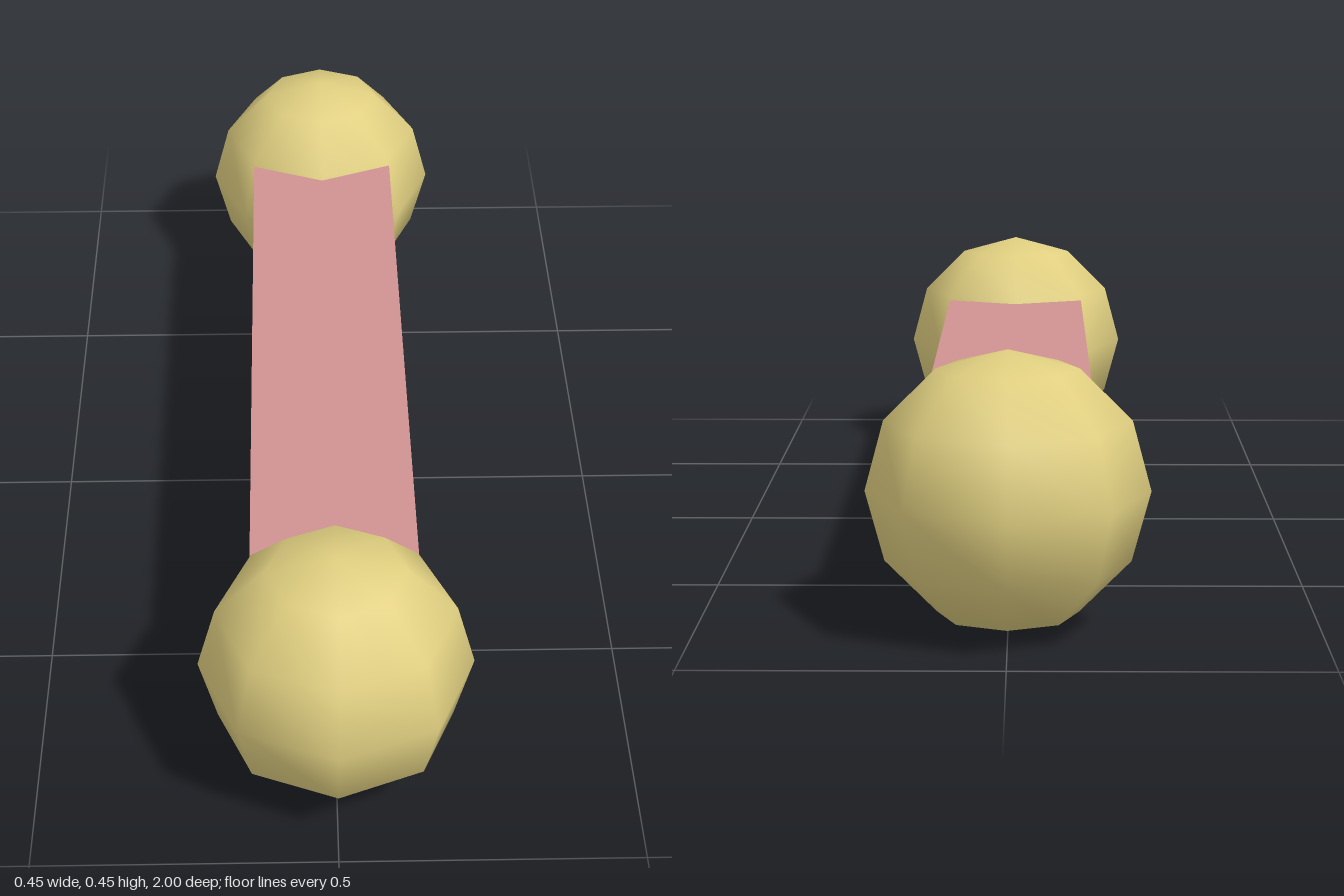
import * as THREE from 'three';

export function createModel() {
  const model = new THREE.Group();
  model.name = 'dumbbell';

  const gold = new THREE.MeshStandardMaterial({ name: 'gold', color: 0xe0cf80 });
  const pink = new THREE.MeshStandardMaterial({ name: 'dustyPink', color: 0xd09191 });

  const radius = 0.227;
  const centreY = 0.229;
  const endZ = 0.773;

  // Square-edged handle running between the ball centres
  const handle = new THREE.Mesh(new THREE.BoxGeometry(0.282, 0.212, endZ * 2), pink);
  handle.name = 'handle';
  handle.position.y = centreY;
  model.add(handle);

  // Low-poly, smooth-shaded ball at each end
  const ballGeometry = new THREE.SphereGeometry(radius, 8, 6);
  for (const side of [1, -1]) {
    const ball = new THREE.Mesh(ballGeometry, gold);
    ball.name = side > 0 ? 'frontBall' : 'backBall';
    ball.position.set(0, centreY, side * endZ);
    model.add(ball);
  }

  return model;
}
